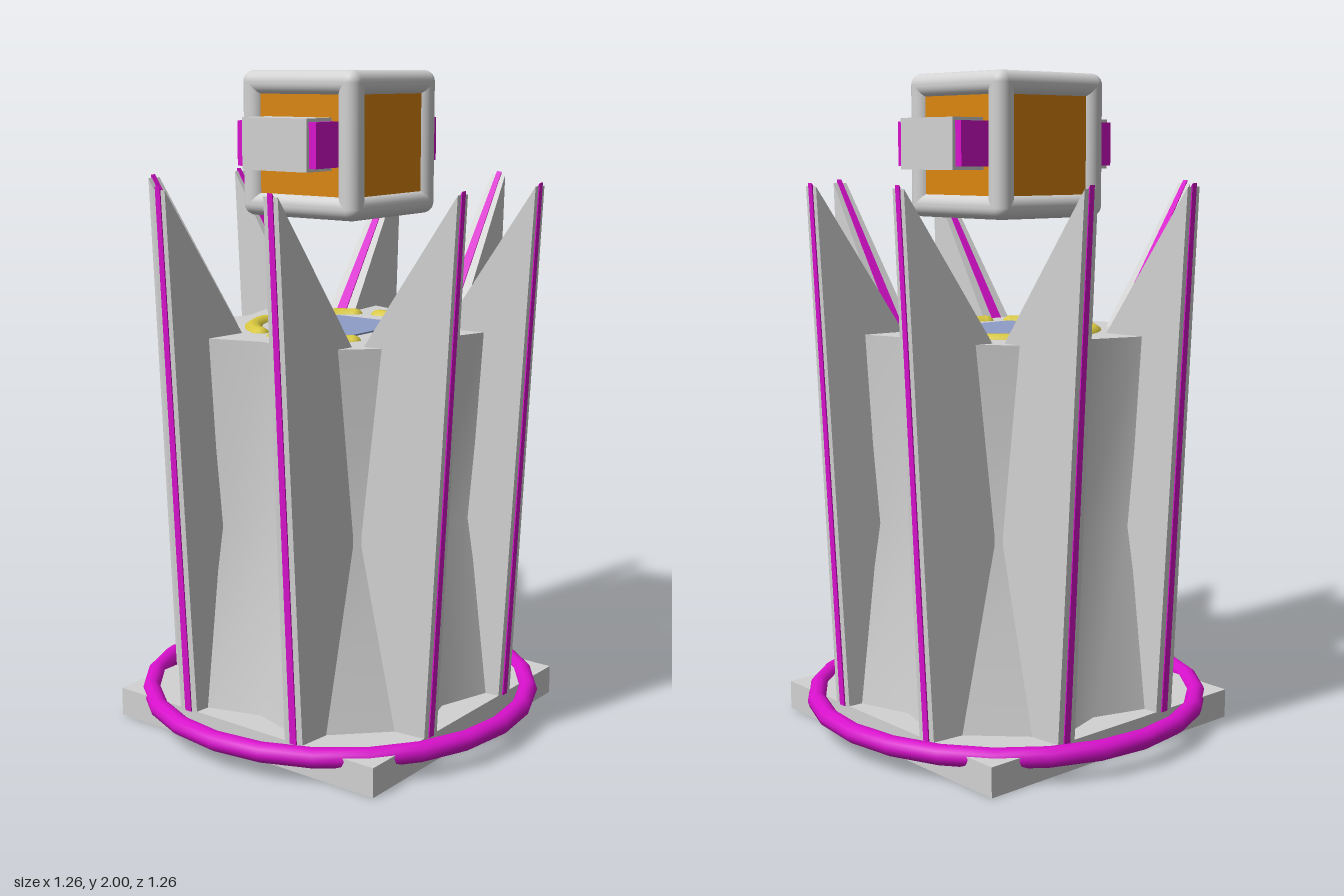
import * as THREE from 'three';
import { toCreasedNormals } from 'three/addons/utils/BufferGeometryUtils.js';
import { RoundedBoxGeometry } from 'three/addons/geometries/RoundedBoxGeometry.js';

const material = (name, color, side = THREE.FrontSide) => {
  const m = new THREE.MeshStandardMaterial({ color, side });
  m.name = name;
  return m;
};

function add(parent, name, geometry, mat, x = 0, y = 0, z = 0) {
  const mesh = new THREE.Mesh(geometry, mat);
  mesh.name = name;
  mesh.position.set(x, y, z);
  parent.add(mesh);
  return mesh;
}

// Column: an octagon with a shallow notch in each main side, pinched at the waist
function columnGeometry() {
  const outline = [];
  for (let k = 0; k < 4; k++) {
    outline.push([k * 90, 0.395], [k * 90 + 22.5, 0.49], [k * 90 + 67.5, 0.49]);
  }
  const n = outline.length;
  const levels = [[0.08, 1], [0.65, 0.83], [1.23, 0.925]];
  const pos = [], index = [];
  for (const [y, s] of levels) {
    for (const [deg, r] of outline) {
      const a = THREE.MathUtils.degToRad(deg);
      pos.push(r * s * Math.sin(a), y, r * s * Math.cos(a));
    }
  }
  const centre = pos.length / 3;
  pos.push(0, 1.23, 0);
  for (let i = 0; i < n; i++) {
    const j = (i + 1) % n;
    for (let l = 0; l < 2; l++) {
      const a = l * n + i, b = l * n + j;
      index.push(a, b, b + n, a, b + n, a + n);
    }
    index.push(centre, 2 * n + i, 2 * n + j);
  }
  const g = new THREE.BufferGeometry();
  g.setAttribute('position', new THREE.Float32BufferAttribute(pos, 3));
  g.setIndex(index);
  return toCreasedNormals(g, 0.7);
}

// Upright plate in the x-y plane whose half thickness depends on x
function taperedPlate(points, halfThickness) {
  const shape = new THREE.Shape(points.map(p => new THREE.Vector2(...p)));
  const g = new THREE.ExtrudeGeometry(shape, { depth: 1, bevelEnabled: false });
  const p = g.attributes.position;
  for (let i = 0; i < p.count; i++) {
    p.setZ(i, (p.getZ(i) - 0.5) * 2 * halfThickness(p.getX(i)));
  }
  g.computeVertexNormals();
  return g;
}

export function createModel() {
  const model = new THREE.Group();
  model.name = 'pedestalWithCube';
  const grey = material('lightGrey', 0xd2d2d2);
  const greyOpen = material('lightGreyPlate', 0xd2d2d2, THREE.DoubleSide);
  const magenta = material('magenta', 0xd911cd);
  const orange = material('orange', 0xdb860f);
  const yellow = material('yellow', 0xd8c840);
  const blue = material('paleBlue', 0x8e9cc8);

  // Base: a square tray open underneath, with a ring around it
  const tray = new THREE.BoxGeometry(0.98, 0.09, 0.98);
  const faces = Array.from(tray.index.array);
  faces.splice(18, 6);
  tray.setIndex(faces);
  add(model, 'basePlate', tray, greyOpen, 0, 0.045, 0);
  const ring = new THREE.TorusGeometry(0.6, 0.03, 10, 24);
  ring.rotateX(Math.PI / 2);
  add(model, 'baseRing', ring, magenta, 0, 0.08, 0);

  add(model, 'column', columnGeometry(), grey);

  // Fins: a pair on each side, with a coloured strip along the free edges
  const finGeo = taperedPlate(
    [[0.275, 0.085], [0.49, 0.085], [0.574, 1.67], [0.275, 1.22]],
    r => 0.025 + (0.574 - r) * 0.094);
  const stripGeo = taperedPlate(
    [[0.48, 0.086], [0.494, 0.086], [0.578, 1.68], [0.275, 1.226], [0.28, 1.21], [0.565, 1.64]],
    r => 0.009 + Math.max(0, 0.578 - r) * 0.033);
  for (let k = 0; k < 4; k++) {
    const pair = new THREE.Group();
    pair.name = 'finPair';
    pair.rotation.y = k * Math.PI / 2;
    for (const z of [-0.205, 0.205]) {
      add(pair, 'fin', finGeo, grey, 0, 0, z);
      add(pair, 'finStrip', stripGeo, magenta, 0, 0, z);
    }
    model.add(pair);
  }

  // Top of the column: square panel and five rounded arcs
  add(model, 'topPanel', new THREE.BoxGeometry(0.3, 0.008, 0.3), blue, 0, 1.231, 0);
  const half = THREE.MathUtils.degToRad(27);
  const arcGeo = new THREE.TorusGeometry(0.265, 0.032, 10, 6, half * 2);
  arcGeo.rotateX(Math.PI / 2);
  arcGeo.rotateY(half - Math.PI / 2);
  const endGeo = new THREE.SphereGeometry(0.032, 10, 8);
  for (let k = 0; k < 5; k++) {
    const arc = new THREE.Group();
    arc.name = 'topArc';
    arc.position.y = 1.214;
    arc.rotation.y = k * Math.PI * 2 / 5;
    add(arc, 'arcTube', arcGeo, yellow);
    for (const s of [-1, 1]) {
      add(arc, 'arcEnd', endGeo, yellow, s * 0.265 * Math.sin(half), 0, 0.265 * Math.cos(half));
    }
    model.add(arc);
  }

  // Floating cube: a rounded frame of twelve bars around inset panels
  const cube = new THREE.Group();
  cube.name = 'cube';
  cube.position.y = 1.787;
  add(cube, 'cubePanels', new THREE.BoxGeometry(0.39, 0.39, 0.39), orange);
  const t = 0.072, c = 0.213 - t / 2;
  const bars = [
    new RoundedBoxGeometry(0.426, t, t, 4, 0.034),
    new RoundedBoxGeometry(t, 0.426, t, 4, 0.034),
    new RoundedBoxGeometry(t, t, 0.426, 4, 0.034),
  ];
  for (const a of [-c, c]) {
    for (const b of [-c, c]) {
      add(cube, 'frameBar', bars[0], grey, 0, a, b);
      add(cube, 'frameBar', bars[1], grey, a, 0, b);
      add(cube, 'frameBar', bars[2], grey, a, b, 0);
    }
  }

  // Side blocks with coloured inserts showing front and back
  for (const s of [-1, 1]) {
    add(cube, 'sideBlock', new THREE.BoxGeometry(0.125, 0.15, 0.238), grey, s * 0.2475, 0.005, 0);
    add(cube, 'sideInsert', new THREE.BoxGeometry(0.115, 0.13, 0.29), magenta, s * 0.2425, 0.005, 0);
  }
  model.add(cube);
  return model;
}
